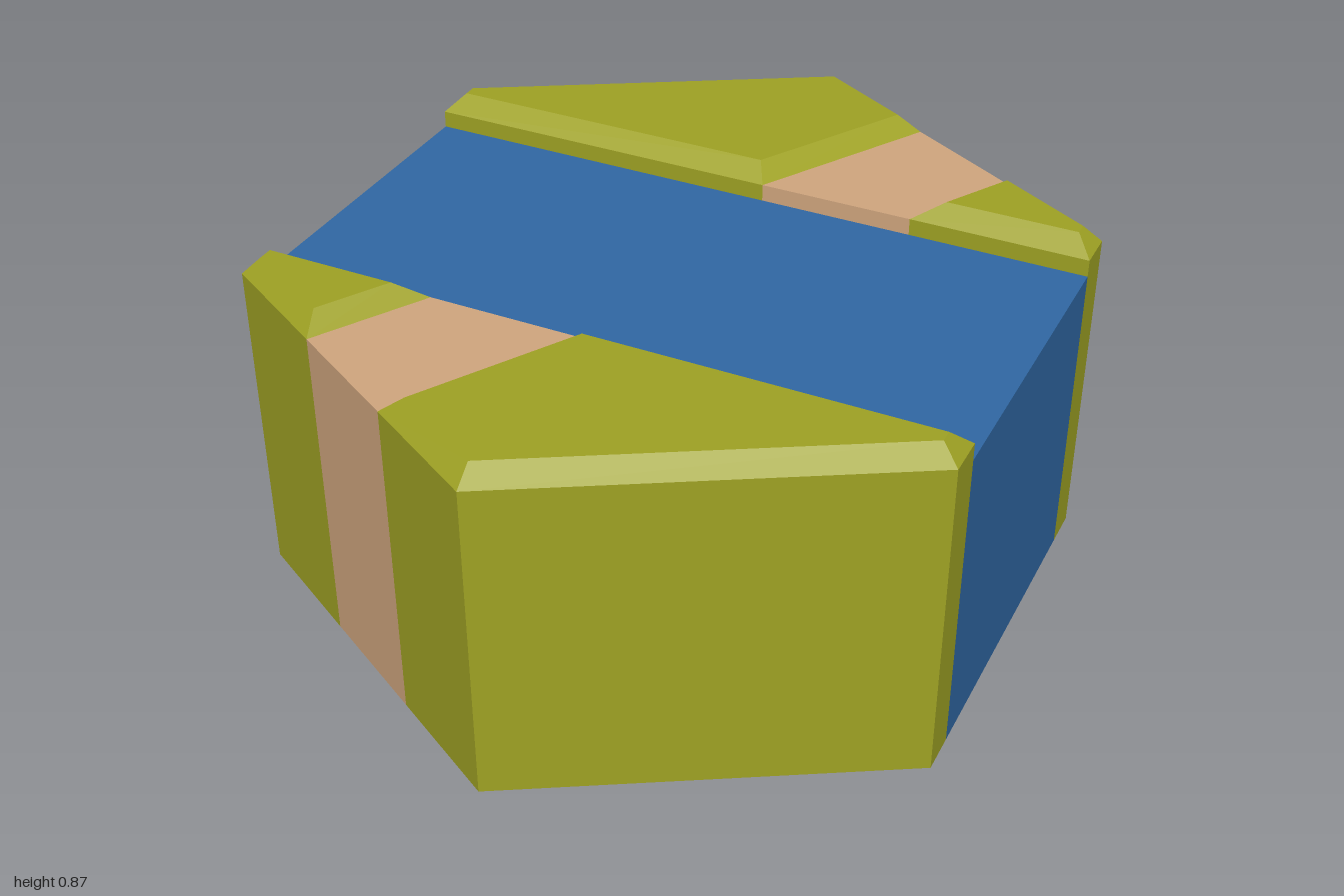
import * as THREE from 'three';

const R = 0.866, EDGE = 0.4;              // half width of the hexagon, half width of the river
const RIVER_Y = 0.78, ROAD_Y = 0.823, BANK_Y = 0.866;

// Move every side of a convex outline [x, z] inwards by t
function inset(points, t) {
  const n = points.length;
  const normals = points.map(([x, z], i) => {
    const [x2, z2] = points[(i + 1) % n];
    const l = Math.hypot(x2 - x, z2 - z);
    return [(z2 - z) / l, -(x2 - x) / l];
  });
  return points.map(([x, z], i) => {
    const a = normals[(i + n - 1) % n], b = normals[i];
    const k = t / (1 + a[0] * b[0] + a[1] * b[1]);
    return [x + (a[0] + b[0]) * k, z + (a[1] + b[1]) * k];
  });
}

// Stack outlines (counterclockwise seen from above) into a faceted, capped solid
function loft(layers) {
  const pos = [];
  const tri = (...corners) => corners.forEach((c) => pos.push(...c));
  const rings = layers.map(([points, y]) => points.map(([x, z]) => [x, y, z]));
  const n = rings[0].length;
  for (let k = 0; k < rings.length - 1; k++) {
    for (let i = 0; i < n; i++) {
      const j = (i + 1) % n, lo = rings[k], hi = rings[k + 1];
      tri(lo[i], lo[j], hi[j]);
      tri(lo[i], hi[j], hi[i]);
    }
  }
  const top = rings[rings.length - 1];
  for (let i = 1; i < n - 1; i++) tri(top[0], top[i], top[i + 1]);
  const g = new THREE.BufferGeometry();
  g.setAttribute('position', new THREE.Float32BufferAttribute(pos, 3));
  g.computeVertexNormals();
  return g;
}

export function createModel() {
  const model = new THREE.Group();
  model.name = 'hexRiverTile';
  const mat = (name, color) => {
    const m = new THREE.MeshStandardMaterial({ color });
    m.name = name;
    return m;
  };
  const grass = mat('grass', 0x9fa224);
  const path = mat('path', 0xd0a67e);
  const water = mat('water', 0x3068a4);
  const add = (parent, name, geometry, material) => {
    const mesh = new THREE.Mesh(geometry, material);
    mesh.name = name;
    parent.add(mesh);
    return mesh;
  };

  // River slab and the hexagonal underside
  add(model, 'river', new THREE.BoxGeometry(2 * R, RIVER_Y, 2 * EDGE), water).position.y = RIVER_Y / 2;
  add(model, 'underside', new THREE.CircleGeometry(1, 6, Math.PI / 6), water).rotation.x = Math.PI / 2;

  // Outlines of one shore, split by a path square to the hexagon's side
  const pathOuterL = [-0.577, 0.667], pathOuterR = [-0.289, 0.833];
  const pathInnerL = [-0.423, EDGE], pathInnerR = [-0.039, EDGE];
  const smallBank = [[-R, EDGE], [-R, 0.5], pathOuterL, pathInnerL];
  const largeBank = [pathInnerR, pathOuterR, [0, 1], [R, 0.5], [R, EDGE]];
  const pathOutline = [pathInnerL, pathOuterL, pathOuterR, pathInnerR];
  const bevel = BANK_Y - ROAD_Y;
  const bank = (o) => loft([[o, 0], [o, ROAD_Y], [inset(o, bevel), BANK_Y]]);

  // Front shore, and the back shore turned half round
  ['front', 'back'].forEach((side, i) => {
    const shore = new THREE.Group();
    shore.name = side + 'Shore';
    shore.rotation.y = i * Math.PI;
    add(shore, side + 'SmallBank', bank(smallBank), grass);
    add(shore, side + 'LargeBank', bank(largeBank), grass);
    add(shore, side + 'Path', loft([[pathOutline, 0], [pathOutline, ROAD_Y]]), path);
    model.add(shore);
  });
  return model;
}
